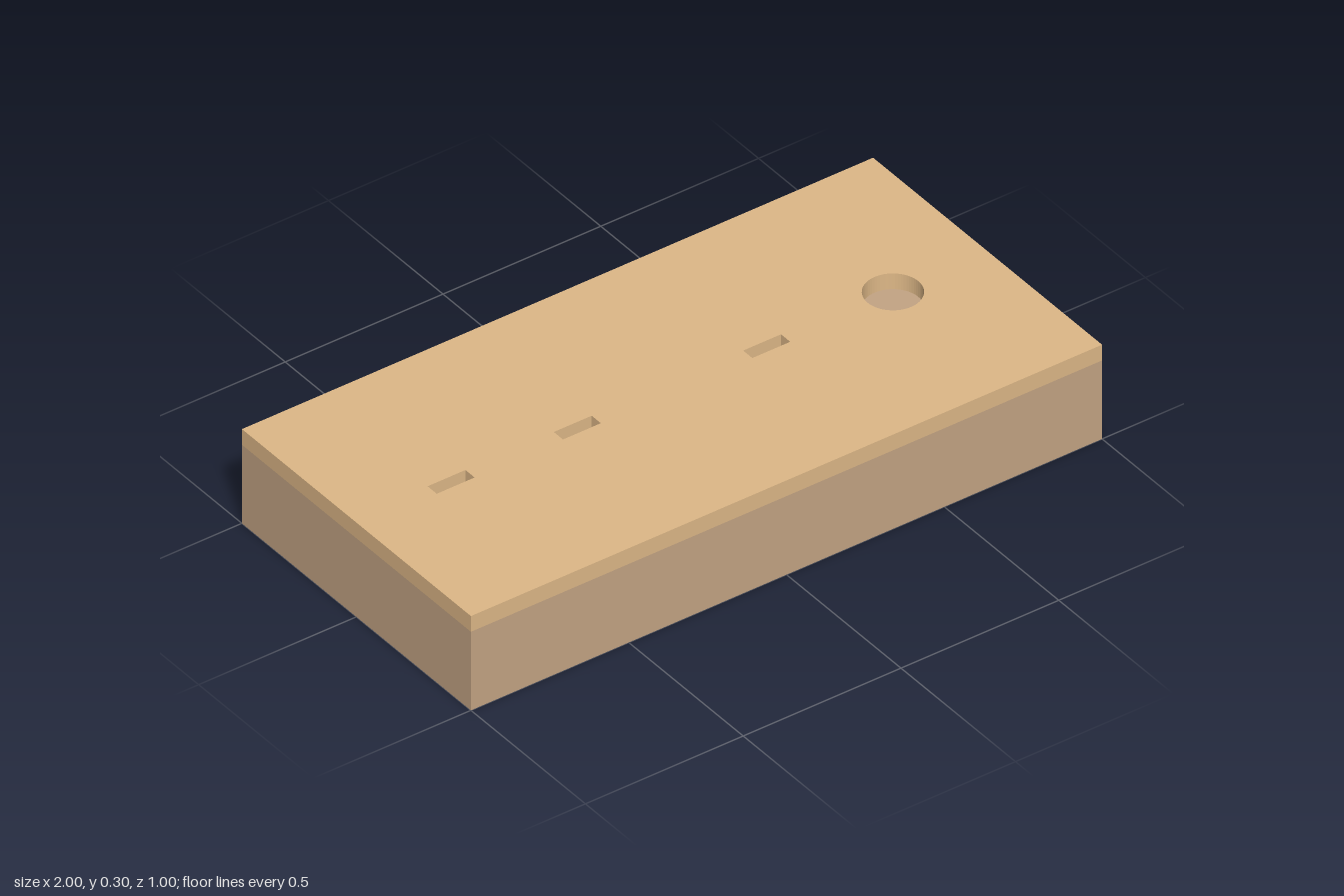
import * as THREE from 'three';

const WIDTH = 2, DEPTH = 1, BASE_H = 0.25, LID_H = 0.05;

// Rectangular outline centred on (cx, 0)
function rectangle(Type, cx, w, h) {
  const path = new Type();
  path.moveTo(cx - w / 2, -h / 2);
  path.lineTo(cx + w / 2, -h / 2);
  path.lineTo(cx + w / 2, h / 2);
  path.lineTo(cx - w / 2, h / 2);
  path.closePath();
  return path;
}

export function createModel() {
  const model = new THREE.Group();
  model.name = 'woodenBox';

  // Base block
  const base = new THREE.Mesh(
    new THREE.BoxGeometry(WIDTH, BASE_H, DEPTH),
    new THREE.MeshStandardMaterial({ color: 0xc4a484 })
  );
  base.name = 'base';
  base.position.y = BASE_H / 2;
  model.add(base);

  // Lid with three slots and a round finger hole
  const outline = rectangle(THREE.Shape, 0, WIDTH, DEPTH);
  for (const x of [-0.7, -0.3, 0.3]) {
    outline.holes.push(rectangle(THREE.Path, x, 0.12, 0.04));
  }
  outline.holes.push(new THREE.Path().absarc(0.7, 0, 0.08, 0, Math.PI * 2, true));

  const lidGeometry = new THREE.ExtrudeGeometry(outline, {
    depth: LID_H, bevelEnabled: false, curveSegments: 32,
  });
  lidGeometry.rotateX(-Math.PI / 2);
  const lid = new THREE.Mesh(
    lidGeometry,
    new THREE.MeshStandardMaterial({ color: 0xdeb887 })
  );
  lid.name = 'lid';
  lid.position.y = BASE_H;
  model.add(lid);

  return model;
}
